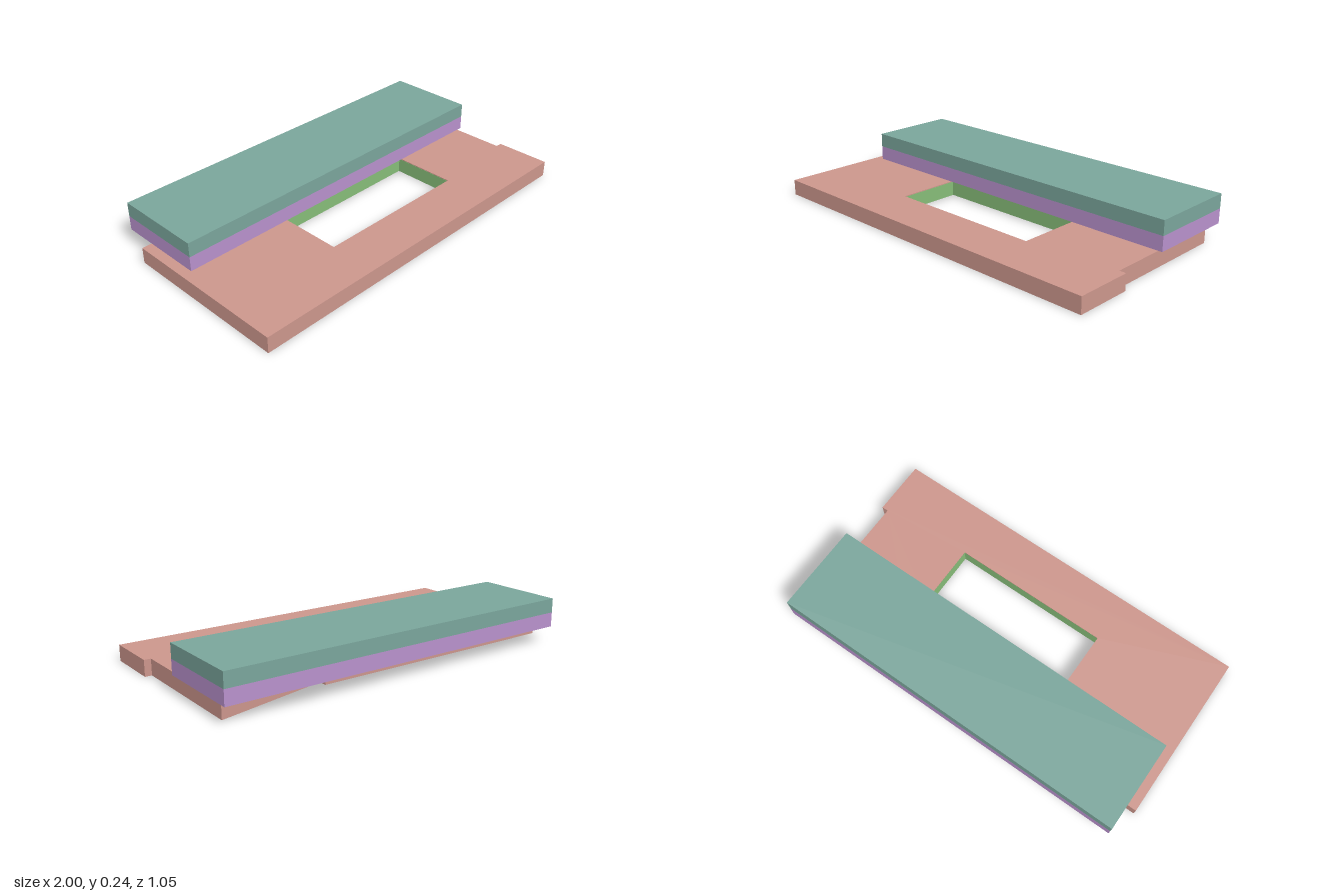
import * as THREE from 'three';

const material = (color) => new THREE.MeshStandardMaterial({ color, side: THREE.DoubleSide });
const salmon = material(0xcc968c);
const green = material(0x86bc78);
const purple = material(0xb891cc);
const teal = material(0x7aa59b);

// Plan outline (x, z), with holes, raised from y0 to y1
function plan(name, mat, outline, holes, y0, y1) {
  const pts = (list) => list.map(([x, z]) => new THREE.Vector2(x, -z));
  const shape = new THREE.Shape(pts(outline));
  for (const h of holes) shape.holes.push(new THREE.Path(pts(h)));
  const geo = new THREE.ExtrudeGeometry(shape, { depth: y1 - y0, bevelEnabled: false });
  geo.rotateX(-Math.PI / 2).translate(0, y0, 0);
  const mesh = new THREE.Mesh(geo, mat);
  mesh.name = name;
  return mesh;
}

const rect = (x0, x1, z0, z1) => [[x0, z0], [x1, z0], [x1, z1], [x0, z1]];

export function createModel() {
  const model = new THREE.Group();
  const roofY = 0.083;

  // Ground floor: thin roof over perimeter walls, open underneath
  const outline = [[-1, 0.525], [1, 0.525], [1, 0.23], [0.965, 0.23], [0.965, -0.45],
    [0.385, -0.315], [0.385, -0.36], [-1, -0.36]];
  const inside = [[-0.994, 0.519], [0.994, 0.519], [0.994, 0.236], [0.959, 0.236], [0.959, -0.442],
    [0.379, -0.307], [0.379, -0.354], [-0.994, -0.354]];
  const court = rect(-0.37, 0.475, -0.07, 0.27);
  const slot = rect(-0.23, 0.31, -0.14, -0.085);
  model.add(plan('groundFloorOuterWalls', salmon, outline, [inside], 0, roofY - 0.004));
  model.add(plan('groundFloorRoof', salmon, outline, [court, slot], roofY - 0.004, roofY));

  // Courtyard lining
  model.add(plan('courtyardWalls', green, rect(-0.382, 0.487, -0.082, 0.282), [court], 0.002, roofY - 0.005));

  // Interior partitions: axis, fixed coordinate, start, end
  const partitions = new THREE.Group();
  partitions.name = 'interiorPartitions';
  model.add(partitions);
  function wall(axis, at, from, to) {
    const len = to - from, mid = (from + to) / 2, t = 0.014, h = roofY - 0.007;
    const geo = axis === 'x' ? new THREE.BoxGeometry(len, h, t) : new THREE.BoxGeometry(t, h, len);
    const mesh = new THREE.Mesh(geo, green);
    mesh.name = 'partition';
    mesh.position.set(axis === 'x' ? mid : at, 0.002 + h / 2, axis === 'x' ? at : mid);
    partitions.add(mesh);
  }

  // Front bays
  for (const x of [0.87, 0.42, -0.03, -0.48, -0.91]) {
    wall('x', 0.41, x - 0.065, x + 0.065);
    wall('z', x - 0.065, 0.41, 0.48);
    wall('z', x + 0.065, 0.41, 0.48);
  }

  // Corridor walls
  wall('z', 0.48, 0.28, 0.49);
  wall('z', -0.376, 0.28, 0.38);
  for (const [a, b] of [[0.1, 0.33], [-0.28, 0.02], [-0.6, -0.35], [-0.95, -0.68]]) wall('x', -0.27, a, b);
  wall('x', -0.17, -0.9, -0.3);

  // Room clusters at both ends
  for (const [x0, x1, rows] of [
    [0.53, 0.93, [-0.32, -0.22, -0.11, 0, 0.1, 0.2]],
    [-0.95, -0.43, [-0.08, 0, 0.08, 0.17, 0.26]],
  ]) {
    const w = x1 - x0;
    rows.forEach((z, i) => {
      wall('x', z, x0 + (i % 2) * 0.08, x0 + w * 0.45);
      wall('x', z, x0 + w * 0.6, x1 - (i % 2) * 0.06);
      if (i === rows.length - 1) return;
      const next = rows[i + 1];
      for (const f of [0.18, 0.42, 0.64, 0.84]) {
        const cut = (i + Math.round(f * 10)) % 2 ? 0.035 : 0;
        wall('z', x0 + w * f, z, next - cut);
      }
    });
  }

  // Upper floors: hollow first storey on a slab, solid second storey
  const upper = rect(-0.95, 0.99, -0.525, -0.05);
  const upperInside = rect(-0.942, 0.982, -0.517, -0.058);
  model.add(plan('firstStoreySlab', purple, upper, [slot], 0.086, 0.09));
  model.add(plan('firstStoreyWalls', purple, upper, [upperInside], 0.09, 0.162));
  model.add(plan('secondStorey', teal, upper, [], 0.162, 0.237));

  return model;
}
